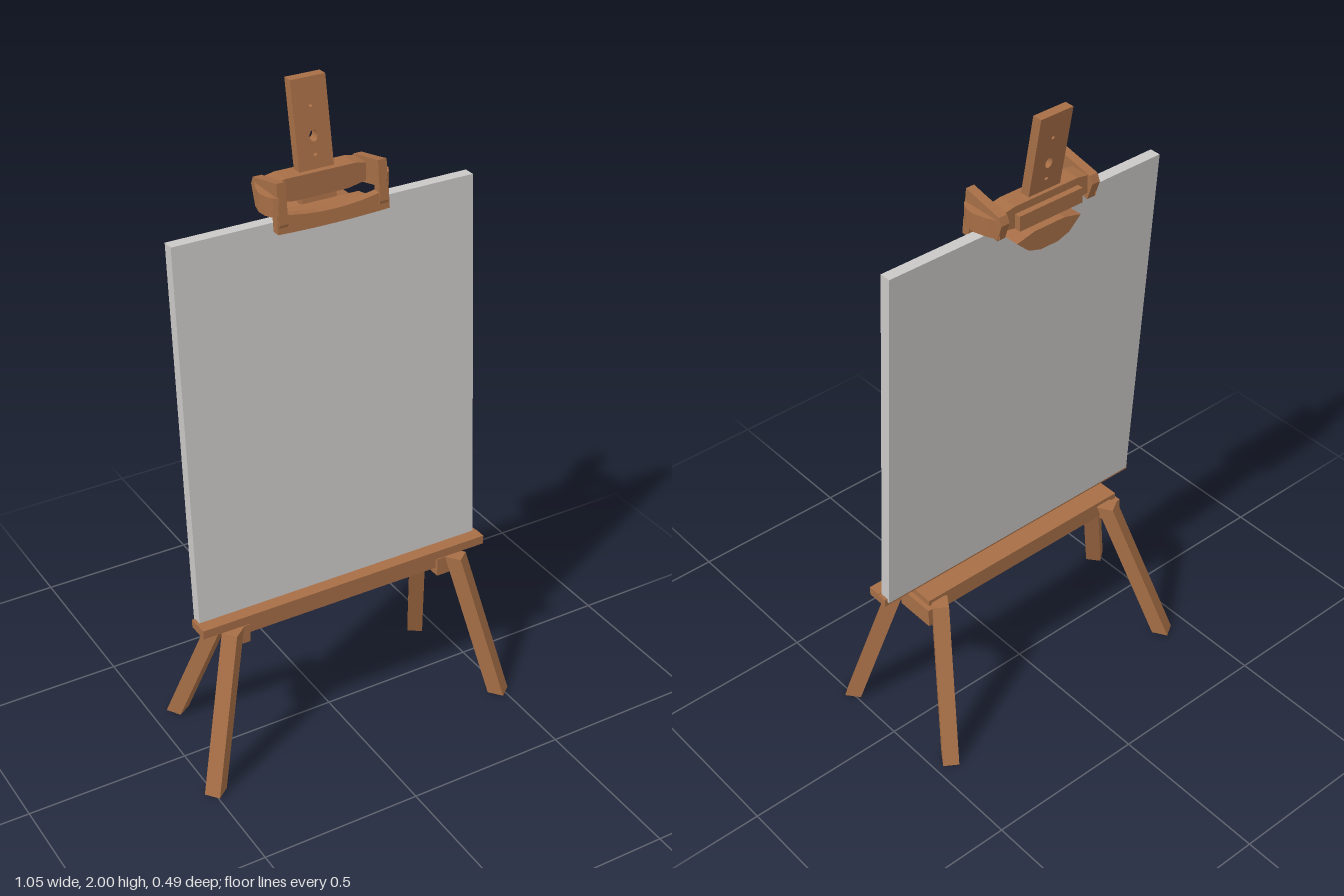
import * as THREE from 'three';

export function createModel() {
  const model = new THREE.Group();
  const wood = new THREE.MeshStandardMaterial({ color: 0xa66e46 });
  wood.name = 'warm wood';
  const cloth = new THREE.MeshStandardMaterial({ color: 0xcac8c6 });
  cloth.name = 'pale canvas';

  const add = (name, geometry, material = wood) => {
    const mesh = new THREE.Mesh(geometry, material);
    mesh.name = name;
    model.add(mesh);
    return mesh;
  };
  // Box given by its limits on each axis
  const block = (name, [x0, x1], [y0, y1], [z0, z1], material) => {
    const g = new THREE.BoxGeometry(x1 - x0, y1 - y0, z1 - z0);
    g.translate((x0 + x1) / 2, (y0 + y1) / 2, (z0 + z1) / 2);
    return add(name, g, material);
  };
  // Shift a geometry in z as it rises from height y0
  const lean = (mesh, slope, y0) => {
    const p = mesh.geometry.attributes.position;
    for (let i = 0; i < p.count; i++) p.setZ(i, p.getZ(i) + slope * (p.getY(i) - y0));
    mesh.geometry.computeVertexNormals();
    return mesh;
  };
  const outline = (points) => new THREE.Shape(points.map(([x, y]) => new THREE.Vector2(x, y)));
  const slab = (shape, depth) => new THREE.ExtrudeGeometry(shape, { depth, bevelEnabled: false, curveSegments: 8 });

  // Leaning canvas on its ledge
  lean(block('canvas', [-0.46, 0.475], [0.5, 1.66], [0.023, 0.058], cloth), -0.067, 0.5);
  block('ledge', [-0.47, 0.485], [0.487, 0.512], [0.03, 0.1]);
  block('ledgeLip', [-0.47, 0.485], [0.505, 0.515], [0.06, 0.1]);
  block('crossbeam', [-0.36, 0.375], [0.432, 0.487], [-0.035, 0.07]);

  // Splayed legs, cut level at the floor: foot x, z and top x, z
  const legTop = 0.475;
  const leg = (name, fx, fz, tx, tz) => {
    const g = new THREE.BoxGeometry(0.05, legTop, 0.048);
    g.rotateY(-Math.atan2(fz - tz, fx - tx));
    g.translate(0, legTop / 2, 0);
    const p = g.attributes.position;
    for (let i = 0; i < p.count; i++) {
      const t = p.getY(i) / legTop;
      p.setX(i, p.getX(i) + fx + (tx - fx) * t);
      p.setZ(i, p.getZ(i) + fz + (tz - fz) * t);
    }
    g.computeVertexNormals();
    add(name, g);
  };
  leg('frontRightLeg', -0.492, 0.186, -0.37, 0.088);
  leg('frontLeftLeg', 0.487, 0.213, 0.39, 0.092);
  leg('backRightLeg', -0.417, -0.212, -0.315, -0.047);
  leg('backLeftLeg', 0.441, -0.196, 0.345, -0.047);

  // Brackets tying each front leg to the back one
  for (const [name, x] of [['rightBracket', -0.338], ['leftBracket', 0.362]]) {
    block(name, [x - 0.028, x + 0.028], [0.408, 0.468], [-0.05, 0.08]);
  }

  // Mast with its peg holes
  const mastShape = outline([[-0.047, 1.66], [0.06, 1.66], [0.06, 2], [-0.047, 2]]);
  for (const [y, rx, ry] of [[1.845, 0.012, 0.016], [1.925, 0.005, 0.005], [1.795, 0.006, 0.004]]) {
    mastShape.holes.push(new THREE.Path().absellipse(0.007, y, rx, ry, 0, Math.PI * 2, true));
  }
  const mastGeometry = slab(mastShape, 0.03);
  mastGeometry.translate(0, 0, -0.152);
  lean(add('mast', mastGeometry), -0.19, 2);

  // Clamp front plate, dipping in the middle
  const plateShape = new THREE.Shape();
  plateShape.moveTo(-0.165, 1.695);
  plateShape.quadraticCurveTo(0.008, 1.655, 0.18, 1.695);
  plateShape.lineTo(0.18, 1.64);
  plateShape.quadraticCurveTo(0.008, 1.632, -0.165, 1.64);
  const plateGeometry = slab(plateShape, 0.025);
  plateGeometry.translate(0, 0, -0.007);
  lean(add('clampPlate', plateGeometry), -0.12, 1.64);

  // Clamp shelf over the canvas edge and body behind it
  add('clampShelf', slab(outline([[-0.1, 0.055], [0.125, 0.055], [0.145, -0.01], [-0.12, -0.01]]), 0.014)
    .rotateX(-Math.PI / 2).translate(0, 1.66, 0));
  const bodyShape = outline([[-0.14, 1.7], [-0.08, 1.688], [0.095, 1.688], [0.155, 1.7], [0.155, 1.75], [0.115, 1.757], [-0.1, 1.757], [-0.14, 1.75]]);
  add('clampBody', slab(bodyShape, 0.06).translate(0, 0, -0.117));
  block('clampBackStop', [-0.1, 0.115], [1.69, 1.735], [-0.135, -0.11]);

  // Mirrored side arms with outer bulges
  const middle = 0.0075;
  const armShape = outline([[0.012, 1.64], [0.018, 1.665], [0.004, 1.78], [-0.03, 1.772], [-0.125, 1.752], [-0.135, 1.73], [-0.117, 1.678], [-0.012, 1.702], [-0.012, 1.64]]);
  const bulgeShape = outline([[0.165, -0.012], [0.178, -0.002], [0.19, 0.02], [0.193, 0.05], [0.182, 0.09], [0.165, 0.125]]);
  for (const [name, side] of [['right', -1], ['left', 1]]) {
    const arm = slab(armShape, 0.027).rotateY(-Math.PI / 2);
    // The shape's horizontal axis runs along z
    arm.translate(middle + side * 0.155 + 0.0135, 0, 0);
    add(name + 'ClampArm', arm);
    const points = bulgeShape.getPoints().map((v) => [middle + side * v.x, v.y]);
    const bulge = slab(outline(points), 0.055).rotateX(-Math.PI / 2).translate(0, 1.685, 0);
    add(name + 'ClampBulge', bulge);
  }

  // Rear grip, narrowing downward like a shallow keel
  const grip = slab(outline([[-0.1, 1.652], [-0.06, 1.615], [-0.02, 1.602], [0.04, 1.602], [0.08, 1.615], [0.12, 1.652], [0.06, 1.666], [-0.045, 1.666]]), 0.075);
  grip.translate(0, 0, -0.13);
  add('rearGrip', grip);

  return model;
}
